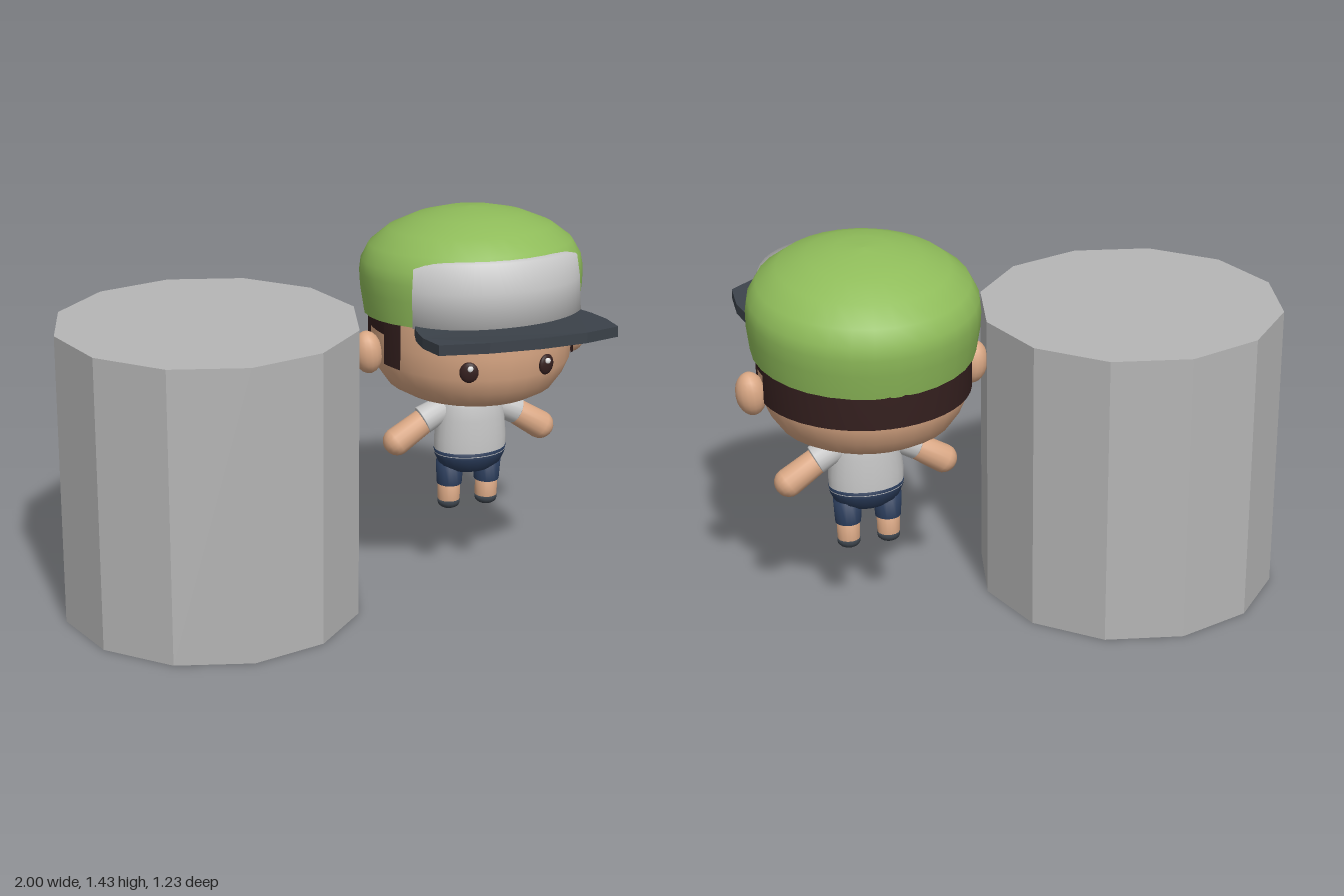
import * as THREE from 'three';

const mat = (name, color, side = THREE.FrontSide) => {
  const m = new THREE.MeshStandardMaterial({ color, side });
  m.name = name;
  return m;
};

export function createModel() {
  const stone = mat('stone grey', 0xb5b5b5);
  const cloth = mat('pale grey cloth', 0xc6c6c6, THREE.DoubleSide);
  const green = mat('cap green', 0x8fbc5a, THREE.DoubleSide);
  const slate = mat('dark slate', 0x3c434b);
  const skin = mat('skin', 0xd9a784);
  const brown = mat('dark brown', 0x35201f, THREE.DoubleSide);
  const navy = mat('navy', 0x2b3d5c, THREE.DoubleSide);
  const white = mat('white', 0xf4f4f4);

  const model = new THREE.Group();
  const add = (parent, name, geometry, material, x = 0, y = 0, z = 0) => {
    const mesh = new THREE.Mesh(geometry, material);
    mesh.name = name;
    mesh.position.set(x, y, z);
    parent.add(mesh);
    return mesh;
  };
  // Profile points run [radius, height] from bottom to top
  const lathe = (pts, segments = 32, start = 0, length = Math.PI * 2) =>
    new THREE.LatheGeometry(pts.map(([r, y]) => new THREE.Vector2(r, y)), segments, start, length);

  // Faceted pillar
  const pillarGeo = new THREE.CylinderGeometry(0.55, 0.55, 1.085, 12).toNonIndexed();
  pillarGeo.computeVertexNormals();
  add(model, 'pillar', pillarGeo, stone, -0.453, 0.5425, -0.07);

  const figure = new THREE.Group();
  figure.name = 'figure';
  figure.position.x = 0.54;
  model.add(figure);

  // Head
  const head = new THREE.Group();
  head.name = 'head';
  head.position.z = -0.0375;
  head.scale.x = 0.965;
  figure.add(head);
  add(head, 'face', lathe([[0, 0.738], [0.17, 0.742], [0.27, 0.757], [0.32, 0.785], [0.352, 0.83],
    [0.378, 0.89], [0.383, 0.97], [0.383, 1.06], [0.37, 1.15], [0, 1.2]]), skin);

  // Hair: band behind the ears, sideburns, and a bridge over each ear
  const rad = THREE.MathUtils.degToRad;
  const hairBand = (name, from, to, bottom) =>
    add(head, name, lathe([[0.38, bottom], [0.389, bottom + 0.005], [0.39, 1.08]],
      Math.max(4, Math.round((to - from) / 8)), rad(from), rad(to - from)), brown);
  hairBand('backHair', 96, 264, 0.897);
  for (const [from, to, bottom, name] of [[64, 78, 0.89, 'sideburn'], [78, 96, 1.0, 'hairOverEar']]) {
    hairBand(name, from, to, bottom);
    hairBand(name, 360 - to, 360 - from, bottom);
  }

  // Ears, eyes and eye glints
  const ball = (rx, ry, rz) => new THREE.SphereGeometry(1, 16, 12).scale(rx, ry, rz);
  for (const s of [-1, 1]) {
    const ear = add(figure, 'ear', ball(0.054, 0.08, 0.056), skin, s * 0.405, 0.922, -0.025);
    ear.rotation.z = -s * 0.12;
    const eye = add(figure, 'eye', ball(0.034, 0.038, 0.014), brown, s * 0.148, 0.925, 0.318);
    eye.rotation.y = s * 0.4;
    add(figure, 'eyeGlint', ball(0.011, 0.011, 0.006), white, s * 0.148, 0.942, 0.332);
  }

  // Cap, tipped back a little
  const cap = new THREE.Group();
  cap.name = 'cap';
  cap.position.set(0, 1.2, -0.05);
  cap.rotation.x = -0.09;
  figure.add(cap);
  add(cap, 'capCrown', lathe([[0.393, -0.15], [0.405, -0.06], [0.407, 0.0], [0.4, 0.045], [0.37, 0.1],
    [0.3, 0.155], [0.2, 0.197], [0.1, 0.219], [0, 0.225]]), green);

  // Front panel, drawn in toward its ends so it meets the crown
  const reach = rad(52);
  const panelGeo = lathe([[0.34, -0.15], [0.424, -0.15], [0.421, -0.02], [0.41, 0.085], [0.34, 0.092]],
    20, -reach, reach * 2).toNonIndexed();
  const p = panelGeo.attributes.position;
  for (let i = 0; i < p.count; i++) {
    const a = Math.abs(Math.atan2(p.getX(i), p.getZ(i))) / reach;
    const k = 1 - 0.03 * a ** 4;
    p.setXYZ(i, p.getX(i) * k, p.getY(i) - (p.getY(i) > 0.05 ? 0.025 * a ** 6 : 0), p.getZ(i) * k);
  }
  add(cap, 'capFrontPanel', panelGeo, cloth);

  // Brim: flat plate that rises forward and droops at the sides
  const half = [[0.31, 0.2], [0.335, 0.28], [0.348, 0.38], [0.335, 0.5], [0.18, 0.58]];
  const outline = [...half, [0, 0.61], ...half.map(([x, z]) => [-x, z]).reverse()];
  const brimGeo = new THREE.ExtrudeGeometry(new THREE.Shape(outline.map(([x, z]) => new THREE.Vector2(x, z))),
    { depth: 0.038, bevelEnabled: false }).rotateX(Math.PI / 2);
  const b = brimGeo.attributes.position;
  for (let i = 0; i < b.count; i++)
    b.setY(i, b.getY(i) + 1.102 + 0.065 * (b.getZ(i) - 0.25) - 0.15 * b.getX(i) ** 2);
  brimGeo.computeVertexNormals();
  add(figure, 'capBrim', brimGeo, slate);

  // Shirt and shorts
  const torso = new THREE.Group();
  torso.name = 'torso';
  torso.position.z = -0.02;
  torso.scale.z = 0.73;
  figure.add(torso);
  add(torso, 'shirt', lathe([[0.137, 0.5], [0.138, 0.56], [0.13, 0.64], [0.122, 0.69], [0.105, 0.725],
    [0.07, 0.75]], 24), cloth);
  add(torso, 'shorts', lathe([[0, 0.425], [0.08, 0.43], [0.118, 0.455], [0.135, 0.49], [0.139, 0.515],
    [0.12, 0.52]], 24), navy);

  // Tapered limb with rounded far end
  const limb = (name, from, to, r0, r1, round, material) => {
    const a = new THREE.Vector3(...from);
    const d = new THREE.Vector3(...to).sub(a);
    const len = d.length();
    const pts = [[0, 0], [r0, 0], [r1, len]];
    for (let i = 1; i <= 5; i++) {
      const t = (i / 5) * Math.PI / 2;
      pts.push([i === 5 ? 0 : r1 * Math.cos(t), len + round * Math.sin(t)]);
    }
    const mesh = add(figure, name, lathe(pts, 16), material, ...from);
    mesh.quaternion.setFromUnitVectors(new THREE.Vector3(0, 1, 0), d.normalize());
  };
  for (const s of [-1, 1]) {
    limb('sleeve', [s * 0.08, 0.685, -0.03], [s * 0.185, 0.633, -0.03], 0.045, 0.054, 0.008, cloth);
    limb('arm', [s * 0.15, 0.65, -0.03], [s * 0.288, 0.56, -0.03], 0.046, 0.053, 0.05, skin);
    limb('shortsLeg', [s * 0.075, 0.46, -0.03], [s * 0.075, 0.372, -0.032], 0.052, 0.047, 0.004, navy);
    limb('leg', [s * 0.075, 0.4, -0.032], [s * 0.075, 0.305, -0.034], 0.043, 0.041, 0.004, skin);
    limb('shoe', [s * 0.075, 0.307, -0.034], [s * 0.075, 0.295, -0.034], 0.042, 0.042, 0.025, slate);
  }

  return model;
}
